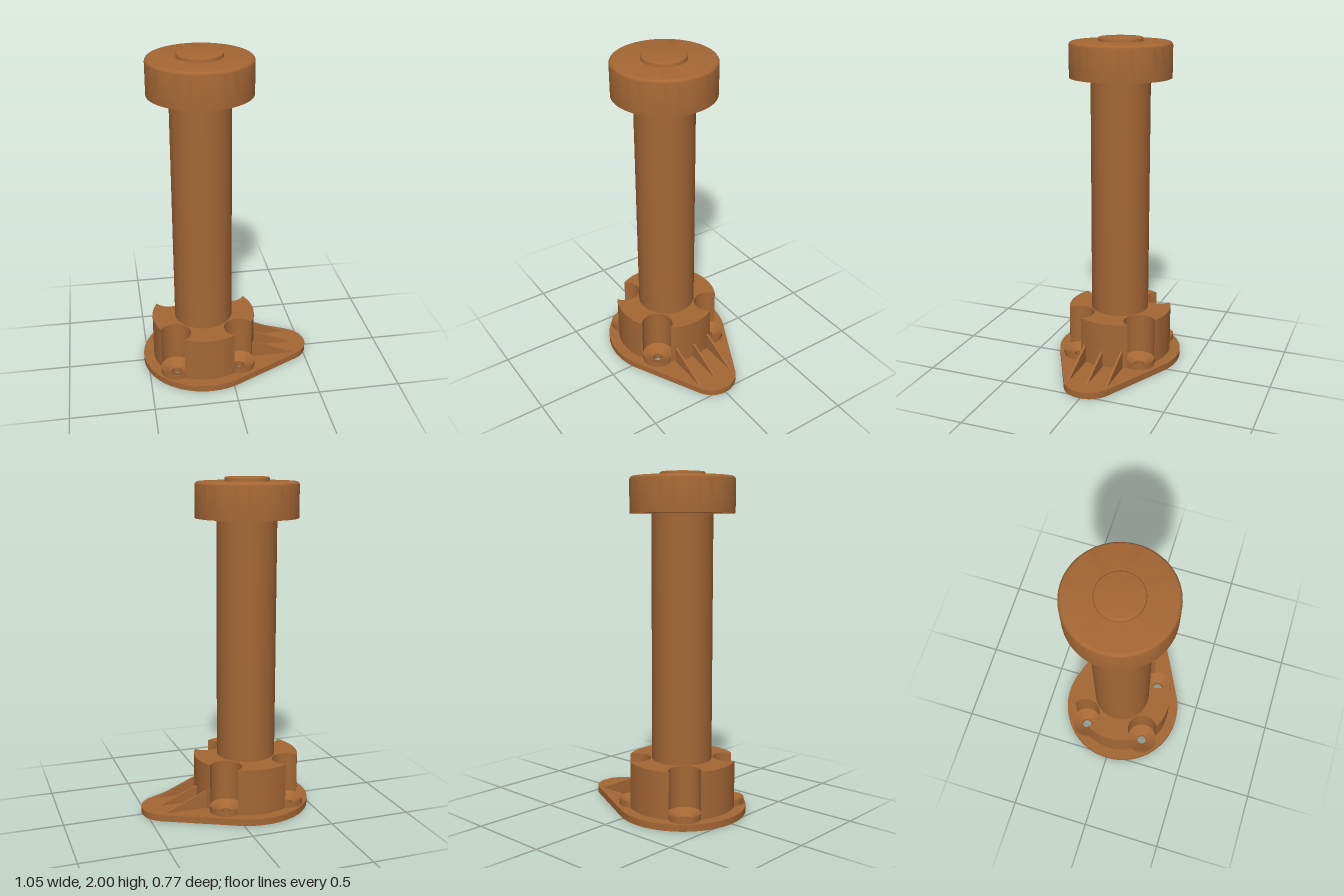
import * as THREE from 'three';
import { toCreasedNormals } from 'three/addons/utils/BufferGeometryUtils.js';

const brown = new THREE.MeshStandardMaterial({ color: 0xa56735 });
brown.name = 'brown';

const AXIS = -0.14;          // x of the column axis
const BOLT = 0.28;           // bolt circle radius
const POCKET = 0.095;        // radius of bolt pockets and bosses
const HOLE = 0.03;
const HUB = 0.32;
const boltAngles = [0, 1, 2, 3].map(i => Math.PI / 4 + i * Math.PI / 2);

// Extrude a plan shape upwards, keeping round walls smooth
function slab(shape, y, height) {
  const g = new THREE.ExtrudeGeometry(shape, { depth: height, bevelEnabled: false, curveSegments: 40 });
  g.rotateX(-Math.PI / 2).translate(0, y, 0);
  return toCreasedNormals(g, 0.5);
}

// Revolve a list of [radius, height] points
function turned(points) {
  const g = new THREE.LatheGeometry(points.map(p => new THREE.Vector2(p[0], p[1])), 80);
  return toCreasedNormals(g, 0.5);
}

// Closed disc profile with a rounded top edge
function roundedDisc(radius, bottom, top, fillet) {
  const pts = [[0, bottom], [radius, bottom]];
  for (let i = 0; i <= 6; i++) {
    const a = (i / 6) * Math.PI / 2;
    pts.push([radius - fillet + fillet * Math.cos(a), top - fillet + fillet * Math.sin(a)]);
  }
  pts.push([0, top]);
  return turned(pts);
}

// Teardrop plate: a big and a small circle joined by tangents, with bolt holes
function plateShape() {
  const big = 0.385, small = 0.155, tip = 0.51;
  const t = Math.acos((big - small) / tip);
  const s = new THREE.Shape();
  s.absarc(0, 0, big, t, Math.PI * 2 - t, false);
  s.absarc(tip, 0, small, -t, t, false);
  s.closePath();
  for (const a of boltAngles) {
    const h = new THREE.Path();
    h.absarc(BOLT * Math.cos(a), BOLT * Math.sin(a), HOLE, 0, Math.PI * 2, true);
    s.holes.push(h);
  }
  return s;
}

// Round hub with four round pockets bitten out of its rim
function hubShape() {
  const half = Math.acos((HUB * HUB + BOLT * BOLT - POCKET * POCKET) / (2 * HUB * BOLT));
  const bite = Math.atan2(HUB * Math.sin(half), HUB * Math.cos(half) - BOLT);
  const s = new THREE.Shape();
  for (const a of boltAngles) {
    s.absarc(0, 0, HUB, a - Math.PI / 2 + half, a - half, false);
    s.absarc(BOLT * Math.cos(a), BOLT * Math.sin(a), POCKET, a - bite, a + bite, true);
  }
  s.closePath();
  return s;
}

export function createModel() {
  const model = new THREE.Group();
  model.name = 'flangedPost';
  const add = (name, geometry, x = AXIS, z = 0) => {
    const m = new THREE.Mesh(geometry, brown);
    m.name = name;
    m.position.set(x, 0, z);
    model.add(m);
  };

  add('basePlate', slab(plateShape(), 0, 0.04));
  add('hub', slab(hubShape(), 0.04, 0.28));
  add('column', turned([[0, 0.3], [0.178, 0.3], [0.178, 1.78], [0, 1.78]]));
  add('cap', roundedDisc(0.305, 1.765, 1.975, 0.022));
  add('capButton', roundedDisc(0.132, 1.96, 2.0, 0.01));

  // Countersunk bolt bosses
  const boss = turned([[POCKET, 0.039], [POCKET, 0.075], [HOLE, 0.041], [HOLE, 0.02]]);
  for (const a of boltAngles)
    add('boltBoss', boss, AXIS + BOLT * Math.cos(a), BOLT * Math.sin(a));

  // Triangular stiffening ribs
  const rib = new THREE.Shape();
  rib.moveTo(0.145, 0.035);
  rib.lineTo(0.427, 0.035);
  rib.lineTo(0.157, 0.15);
  rib.lineTo(0.145, 0.15);
  rib.closePath();
  const ribGeometry = new THREE.ExtrudeGeometry(rib, { depth: 0.013, bevelEnabled: false });
  ribGeometry.translate(0, 0, -0.0065);
  for (const z of [-0.12, 0, 0.12]) add('rib', ribGeometry, 0, z);

  return model;
}
